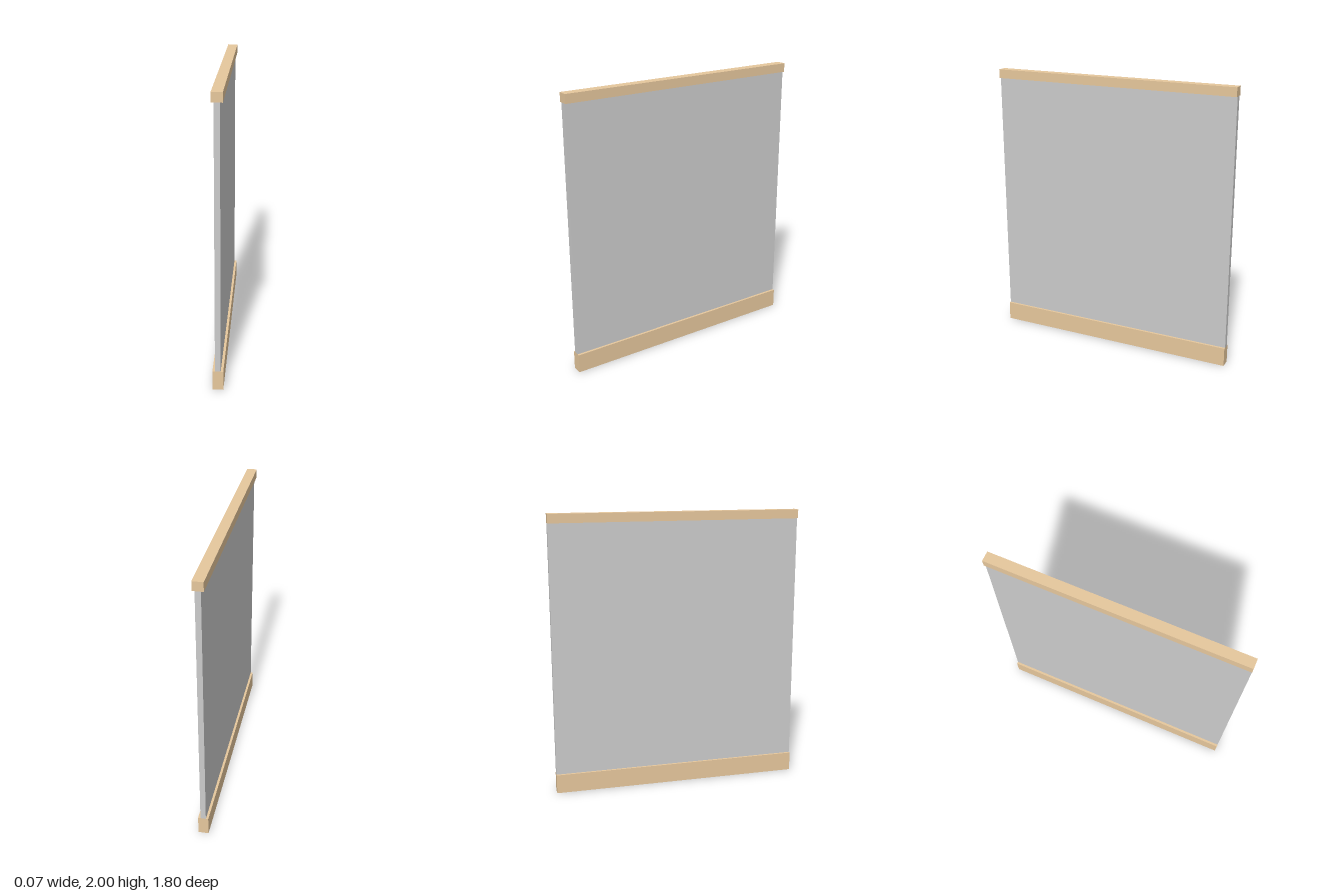
import * as THREE from 'three';

const LENGTH = 1.8;

export function createModel() {
  const group = new THREE.Group();
  group.name = 'wallPanel';
  const wood = new THREE.MeshStandardMaterial({ color: 0xe6c79c });
  const grey = new THREE.MeshStandardMaterial({ color: 0xcccccc });

  // Full-length slab between two heights
  function addSlab(name, thickness, bottom, top, material) {
    const mesh = new THREE.Mesh(new THREE.BoxGeometry(thickness, top - bottom, LENGTH), material);
    mesh.name = name;
    mesh.position.y = (bottom + top) / 2;
    group.add(mesh);
  }

  addSlab('baseboard', 0.072, 0, 0.137, wood);
  addSlab('panel', 0.038, 0.137, 1.937, grey);
  addSlab('topRail', 0.072, 1.937, 2, wood);

  return group;
}
